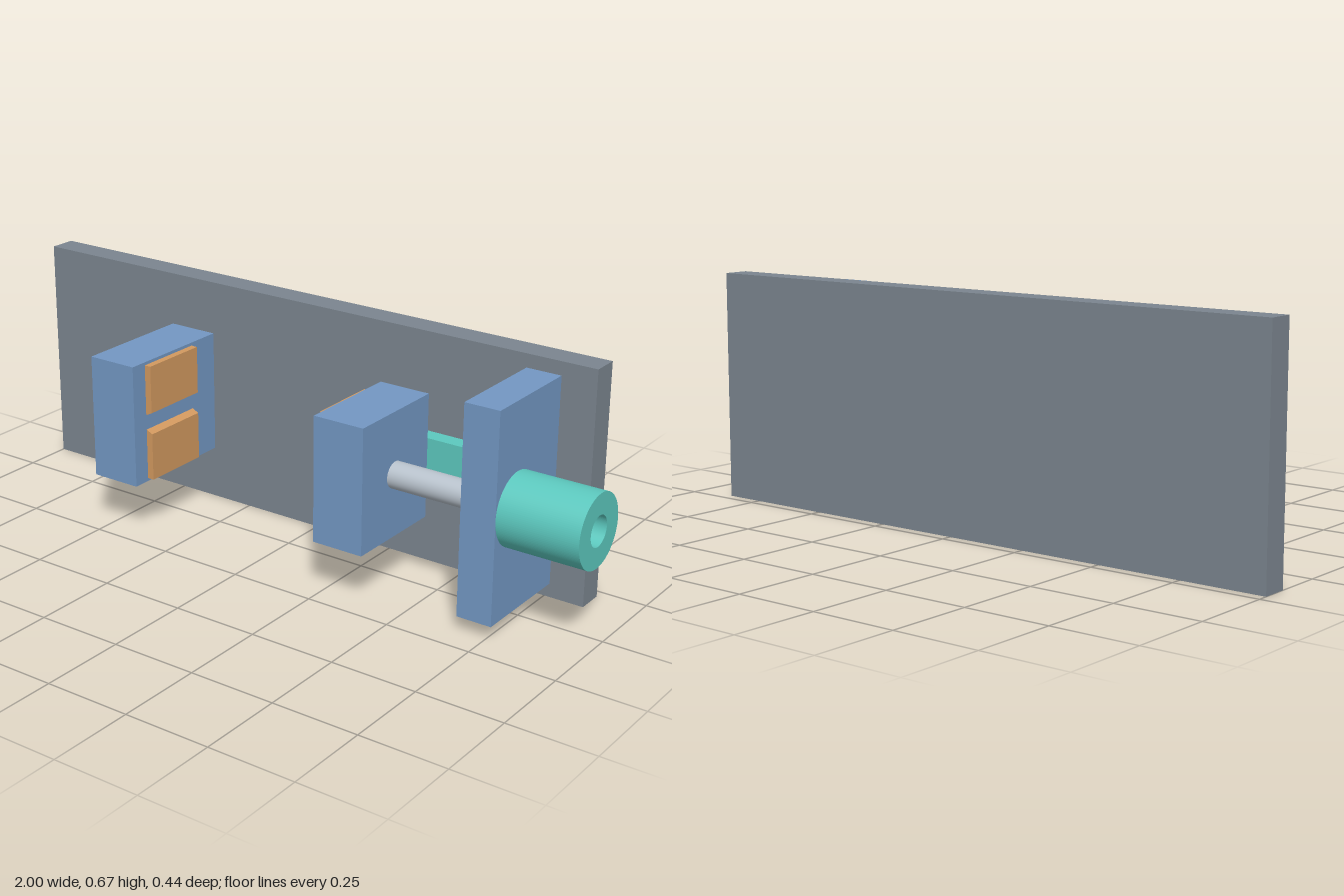
import * as THREE from 'three';

export function createModel() {
  const model = new THREE.Group();
  model.name = 'vise';

  const mat = (name, color) => {
    const m = new THREE.MeshStandardMaterial({ color });
    m.name = name;
    return m;
  };
  const slate = mat('slate grey', 0x7b858f);
  const blue = mat('steel blue', 0x7397c3);
  const orange = mat('copper orange', 0xd2995f);
  const teal = mat('teal', 0x5cc8be);
  const silver = mat('silver', 0xb8c2cc);

  const add = (name, geometry, material) => {
    const mesh = new THREE.Mesh(geometry, material);
    mesh.name = name;
    model.add(mesh);
    return mesh;
  };
  // Box given by its limits on each axis
  const box = (name, material, [x0, x1], [y0, y1], [z0, z1]) => {
    const mesh = add(name, new THREE.BoxGeometry(x1 - x0, y1 - y0, z1 - z0), material);
    mesh.position.set((x0 + x1) / 2, (y0 + y1) / 2, (z0 + z1) / 2);
  };

  const midY = 0.337, axisZ = 0.065, plateZ = -0.142;

  // Back plate, jaws, slide and screw support
  box('basePlate', slate, [-1, 0.868], [0, 0.674], [-0.22, plateZ]);
  box('fixedJaw', blue, [-0.53, -0.377], [0.156, 0.518], [plateZ, 0.22]);
  box('movingJaw', blue, [0.242, 0.397], [0.156, 0.518], [-0.094, 0.22]);
  box('slide', teal, [0.225, 0.638], [0.285, 0.389], [plateZ, -0.094]);
  box('screwSupport', blue, [0.662, 0.765], [0.04, 0.635], [plateZ, 0.168]);

  // Grip pads, bevelled along the groove between each pair
  const gripPad = (name, baseX, faceX, side) => {
    const points = [[baseX, 0.172], [faceX, 0.172], [faceX, 0.032], [baseX, 0.022]]
      .map(([x, y]) => new THREE.Vector2(x, midY + side * y));
    const geometry = new THREE.ExtrudeGeometry(new THREE.Shape(points), { depth: 0.208, bevelEnabled: false });
    add(name, geometry, orange).position.z = -0.04;
  };
  for (const side of [1, -1]) {
    const level = side > 0 ? 'upper' : 'lower';
    gripPad(level + 'FixedPad', -0.377, -0.357, side);
    gripPad(level + 'MovingPad', 0.242, 0.225, side);
  }

  // Screw rod between the moving jaw and the support
  const rod = add('screwRod', new THREE.CylinderGeometry(0.038, 0.038, 0.373, 48), silver);
  rod.rotation.z = -Math.PI / 2;
  rod.position.set(0.5835, midY, axisZ);

  // Hollow knob at the end of the screw
  const ring = new THREE.Shape().absarc(0, 0, 0.103, 0, Math.PI * 2, false);
  ring.holes.push(new THREE.Path().absarc(0, 0, 0.043, 0, Math.PI * 2, true));
  const knobGeometry = new THREE.ExtrudeGeometry(ring, { depth: 0.235, bevelEnabled: false, curveSegments: 64 });
  const knob = add('knob', knobGeometry, teal);
  knob.rotation.y = Math.PI / 2;
  knob.position.set(0.765, midY, axisZ);

  return model;
}
